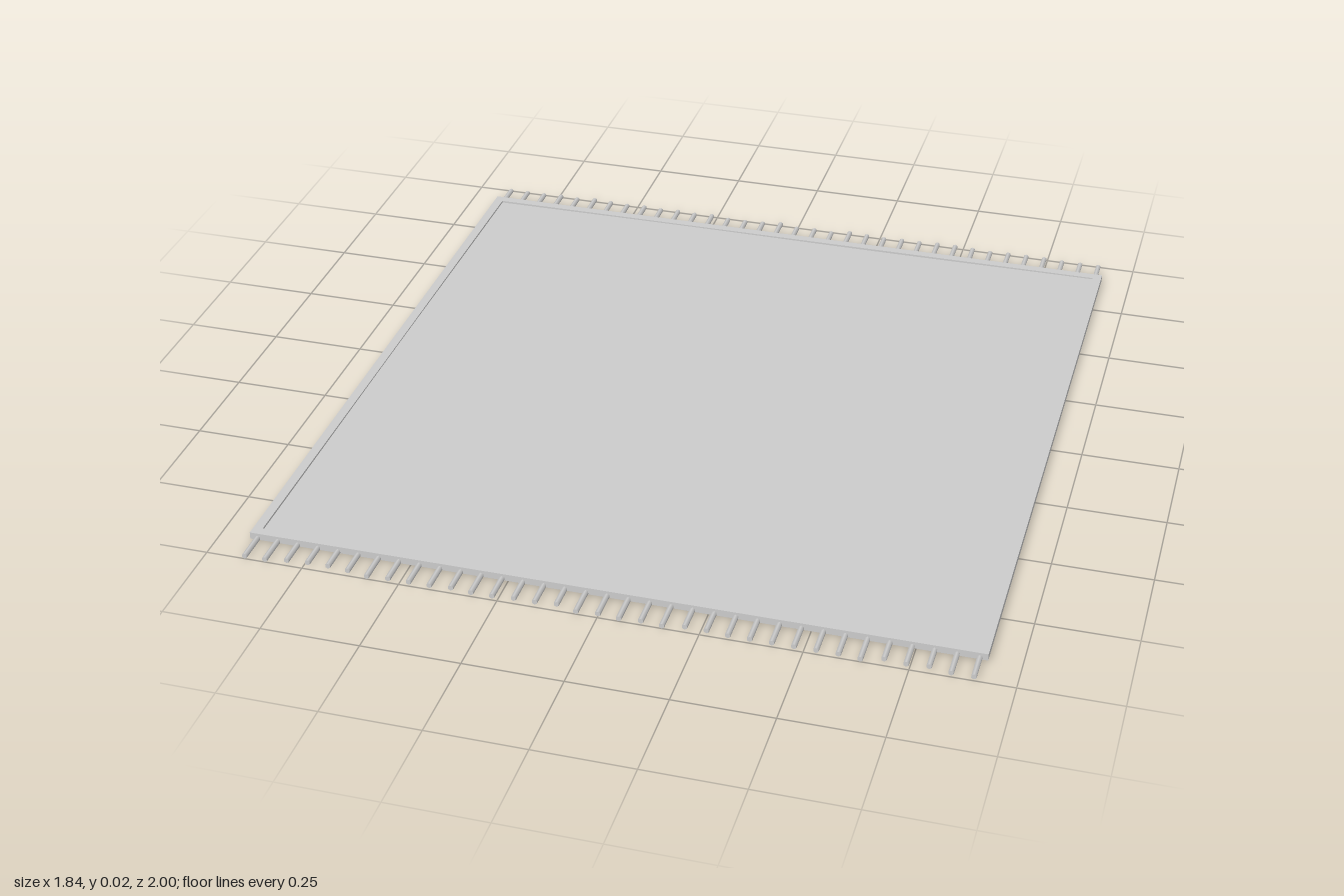
import * as THREE from 'three';

const material = new THREE.MeshStandardMaterial({ color: 0xcccccc });

function addMesh(parent, name, geometry, x, y, z) {
  const mesh = new THREE.Mesh(geometry, material);
  mesh.name = name;
  mesh.position.set(x, y, z);
  parent.add(mesh);
  return mesh;
}

export function createModel() {
  const rug = new THREE.Group();
  rug.name = 'fringedRug';

  // Woven field, with a barely visible unevenness
  const field = new THREE.BoxGeometry(1.81, 0.011, 1.81, 24, 1, 24);
  const p = field.attributes.position;
  for (let i = 0; i < p.count; i++) {
    const wave = Math.sin(p.getX(i) * 5) * Math.cos(p.getZ(i) * 4);
    p.setY(i, p.getY(i) + 0.001 * wave);
  }
  field.computeVertexNormals();
  addMesh(rug, 'field', field, 0, 0.01, 0);

  // Raised binding along all four edges
  for (const side of [-1, 1]) {
    addMesh(rug, 'sideBinding', new THREE.BoxGeometry(0.024, 0.018, 1.84), side * 0.908, 0.011, 0);
    addMesh(rug, 'endBinding', new THREE.BoxGeometry(1.84, 0.018, 0.024), 0, 0.011, side * 0.908);
  }

  // Fringe strands of uneven length; each digit trims the tip by 0.005
  const trims = {
    1: '00233201112112230101022111111032311',
    '-1': '22212012121213320323012110012111222',
  };
  for (const side of [1, -1]) {
    const fringe = new THREE.Group();
    fringe.name = side > 0 ? 'frontFringe' : 'backFringe';
    rug.add(fringe);
    [...trims[side]].forEach((digit, i) => {
      const length = 0.085 - 0.005 * Number(digit);
      const strand = new THREE.CylinderGeometry(0.007, 0.007, length, 6);
      strand.rotateX(Math.PI / 2);
      const x = -0.9 + (1.8 * i) / 34;
      addMesh(fringe, 'strand', strand, x, 0.007, side * (0.915 + length / 2));
    });
  }
  return rug;
}
